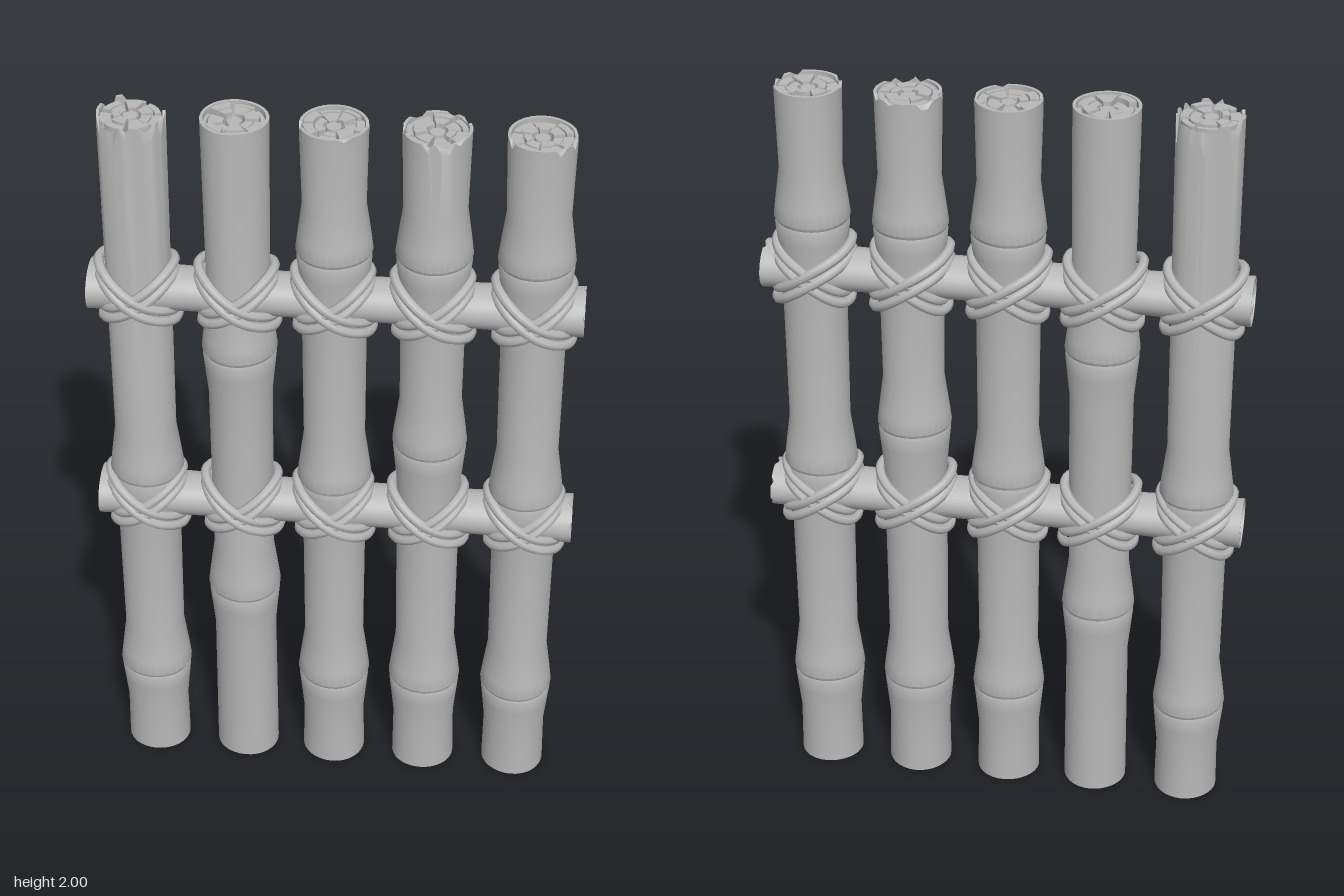
import * as THREE from 'three';
import { toCreasedNormals } from 'three/addons/utils/BufferGeometryUtils.js';

const SEGMENTS = 32;
const RIM = 0.008;   // wall thickness at an open end
const RECESS = 0.035; // depth of an open end

function seeded(seed) {
  let s = seed * 7919 + 17;
  return () => (s = (s * 16807) % 2147483647) / 2147483647;
}

// Profile of a stalk with swollen joints
function stalkProfile(joints, length, radius, waist) {
  const pts = [[radius, 0]];
  for (const n of joints) {
    pts.push([waist + 0.003, n - 0.13], [0.09, n - 0.05], [0.094, n - 0.01], [0.091, n],
      [0.096, n + 0.01], [0.091, n + 0.05], [waist, n + 0.14]);
  }
  pts.push([radius, length]);
  return pts;
}

// Lathed stalk with a slightly uneven wall and chipped rim
function stalkGeometry(pts, length, openBase, chips, chipDepth, rand) {
  const last = pts[pts.length - 1][0], first = pts[0][0];
  const base = openBase
    ? [[0, RECESS], [first - RIM, RECESS], [first - RIM, 0]]
    : [[0, 0]];
  const top = [[last - RIM, length], [last - RIM, length - RECESS], [0, length - RECESS]];
  const all = [...base, ...pts, ...top];
  const geo = new THREE.LatheGeometry(all.map(([r, y]) => new THREE.Vector2(r, y)), SEGMENTS);
  const pos = geo.attributes.position;
  const drop = Array.from({ length: SEGMENTS }, () => (rand() < chips ? chipDepth * (0.25 + 0.75 * rand()) : 0));
  const phase = rand() * 6;
  for (let i = 0; i < pos.count; i++) {
    const ring = Math.floor(i / all.length) % SEGMENTS;
    const a = (ring / SEGMENTS) * Math.PI * 2;
    const j = i % all.length;
    const k = 1 + 0.012 * Math.sin(3 * a + phase + pos.getY(i) * 2);
    pos.setX(i, pos.getX(i) * k);
    pos.setZ(i, pos.getZ(i) * k);
    if (j === all.length - 4) pos.setY(i, length - drop[ring]);
    if (j === all.length - 3) pos.setY(i, length - Math.min(drop[ring] * 0.4, 0.02));
  }
  return toCreasedNormals(geo, 0.6);
}

// Cracked pith filling an open end: wedges around a small hub
function endGrain(radius, material, rand) {
  const group = new THREE.Group();
  group.name = 'endGrain';
  const count = 7;
  const outer = radius - RIM - 0.002, inner = 0.026;
  const turn = rand() * 6;
  for (let i = 0; i < count; i++) {
    const a0 = turn + (i / count) * Math.PI * 2 + 0.05 + rand() * 0.06;
    const a1 = turn + ((i + 1) / count) * Math.PI * 2 - 0.05 - rand() * 0.06;
    const split = 0.045 + rand() * 0.02;
    for (const [r0, r1] of [[inner, split - 0.002], [split + 0.002, outer]]) {
      const shape = new THREE.Shape();
      shape.absarc(0, 0, r1, a0, a1, false);
      shape.absarc(0, 0, r0, a1, a0, true);
      const geo = new THREE.ExtrudeGeometry(shape, { depth: 0.022 + rand() * 0.012, bevelEnabled: false, curveSegments: 4 });
      geo.rotateX(-Math.PI / 2);
      const wedge = new THREE.Mesh(geo, material);
      wedge.name = 'pithWedge';
      group.add(wedge);
    }
  }
  const hub = new THREE.Mesh(new THREE.CylinderGeometry(0.019, 0.021, 0.025, 8), material);
  hub.name = 'pithHub';
  hub.position.y = 0.0125;
  group.add(hub);
  return group;
}

// Tilted loop of rope around a pole
class RopeLoop extends THREE.Curve {
  constructor(radius, rise, shift) {
    super();
    Object.assign(this, { radius, rise, shift });
  }
  getPoint(t, target = new THREE.Vector3()) {
    const a = t * Math.PI * 2;
    return target.set(
      this.radius * Math.cos(a),
      this.rise * Math.cos(a) + this.shift + 0.003 * Math.sin(3 * a),
      this.radius * Math.sin(a));
  }
}

function lashing(material) {
  const group = new THREE.Group();
  group.name = 'ropeLashing';
  [[1, 0.092], [-1, 0.097]].forEach(([dir, radius]) => {
    for (const shift of [-0.016, 0.016]) {
      const geo = new THREE.TubeGeometry(new RopeLoop(radius, dir * 0.064, shift), 40, 0.013, 7, true);
      const strand = new THREE.Mesh(geo, material);
      strand.name = 'ropeStrand';
      group.add(strand);
    }
  });
  return group;
}

export function createModel() {
  const model = new THREE.Group();
  model.name = 'bambooFence';
  const grey = new THREE.MeshStandardMaterial({ color: 0xb8b8b8 });
  grey.name = 'plainGrey';

  // Upright poles: x position, joint heights, share of chipped rim, chip depth
  const poles = [
    [-0.495, [0.27, 0.93], 0.45, 0.09],
    [-0.245, [0.56, 1.33], 0.12, 0.03],
    [-0.005, [0.275, 0.94, 1.64], 0.12, 0.03],
    [0.242, [0.28, 1.07, 1.64], 0.2, 0.03],
    [0.492, [0.275, 0.93, 1.64], 0.2, 0.02],
  ];
  const railHeights = [0.85, 1.5];

  poles.forEach(([x, joints, chips, depth], i) => {
    const rand = seeded(i + 3);
    const pole = new THREE.Group();
    pole.name = 'pole';
    pole.position.x = x;
    const stalk = new THREE.Mesh(
      stalkGeometry(stalkProfile(joints, 2, 0.084, 0.079), 2, false, chips, depth, rand), grey);
    stalk.name = 'poleStalk';
    const grain = endGrain(0.084, grey, rand);
    grain.position.y = 2 - RECESS;
    pole.add(stalk, grain);
    model.add(pole);

    for (const y of railHeights) {
      const rope = lashing(grey);
      rope.position.set(x, y, 0);
      model.add(rope);
    }
  });

  // Horizontal rails, slightly flattened, running through the poles
  const length = 1.235;
  railHeights.forEach((y, i) => {
    const rand = seeded(i + 20);
    const rail = new THREE.Group();
    rail.name = 'rail';
    const pts = [[0.075, 0], [0.072, 0.06], [0.066, 0.25], [0.066, 0.95], [0.071, 1.17], [0.073, length]];
    const stalk = new THREE.Mesh(stalkGeometry(pts, length, true, 0.15, 0.015, rand), grey);
    stalk.name = 'railStalk';
    const farGrain = endGrain(0.073, grey, rand);
    farGrain.position.y = length - RECESS;
    const nearGrain = endGrain(0.074, grey, rand);
    nearGrain.rotation.x = Math.PI;
    nearGrain.position.y = RECESS;
    rail.add(stalk, farGrain, nearGrain);
    rail.scale.x = 0.8;
    rail.rotation.z = -Math.PI / 2;
    rail.position.set(-length / 2, y, 0);
    model.add(rail);
  });

  return model;
}
